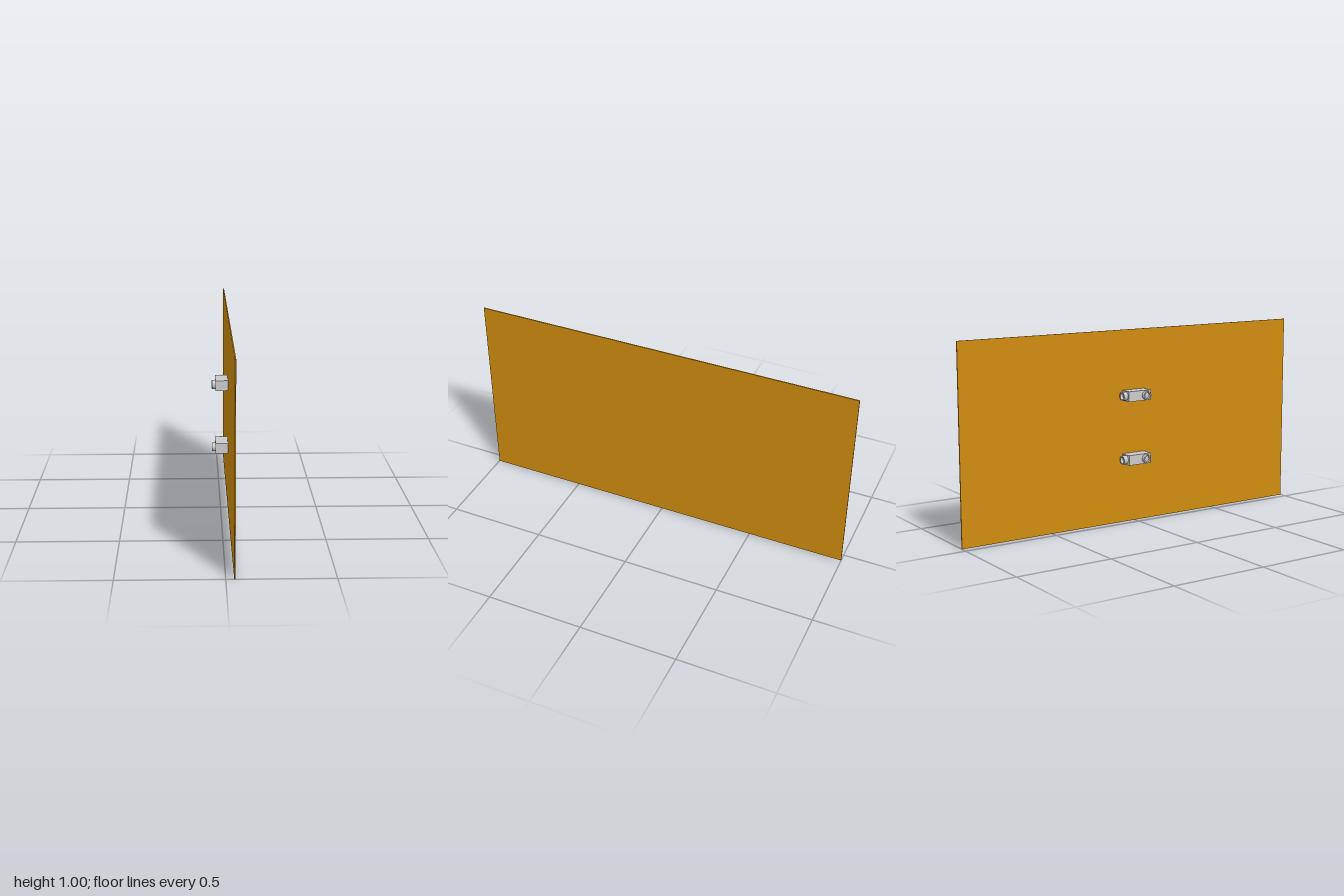
import * as THREE from 'three';

const panelMaterial = new THREE.MeshStandardMaterial({ color: 0xd08c10 });
const grey = new THREE.MeshStandardMaterial({ color: 0xcccccc, flatShading: true });

function addBox(parent, name, size, position, material) {
  const mesh = new THREE.Mesh(new THREE.BoxGeometry(...size), material);
  mesh.name = name;
  mesh.position.set(...position);
  parent.add(mesh);
}

// Short round collar with a recessed bore, starting at y = 0 and pointing up +y
function createCollar(name, radius, length) {
  const profile = [
    [radius, 0],
    [radius, length],
    [radius * 0.7, length],
    [radius * 0.7, length * 0.3],
    [0, length * 0.3],
  ].map(([r, y]) => new THREE.Vector2(r, y));
  const mesh = new THREE.Mesh(new THREE.LatheGeometry(profile, 16), grey);
  mesh.name = name;
  return mesh;
}

// Block fixed to the panel, with one collar on its side and one on its back end
function createFitting() {
  const fitting = new THREE.Group();
  addBox(fitting, 'fittingBody', [0.064, 0.052, 0.134], [0.005, 0, -0.012], grey);

  const side = createCollar('sideCollar', 0.0225, 0.018);
  side.rotation.z = Math.PI / 2;
  side.position.set(-0.027, 0, 0.023);

  const back = createCollar('backCollar', 0.0225, 0.023);
  back.rotation.x = -Math.PI / 2;
  back.position.set(0.004, 0, -0.079);

  fitting.add(side, back);
  return fitting;
}

export function createModel() {
  const model = new THREE.Group();
  model.name = 'panelWithFittings';

  // Thin upright panel
  addBox(model, 'panel', [0.006, 1, 2], [0.041, 0.5, 0], panelMaterial);

  // Two fittings, one above the other
  [['lowerFitting', 0.335], ['upperFitting', 0.665]].forEach(([name, y]) => {
    const fitting = createFitting();
    fitting.name = name;
    fitting.position.y = y;
    model.add(fitting);
  });

  return model;
}
